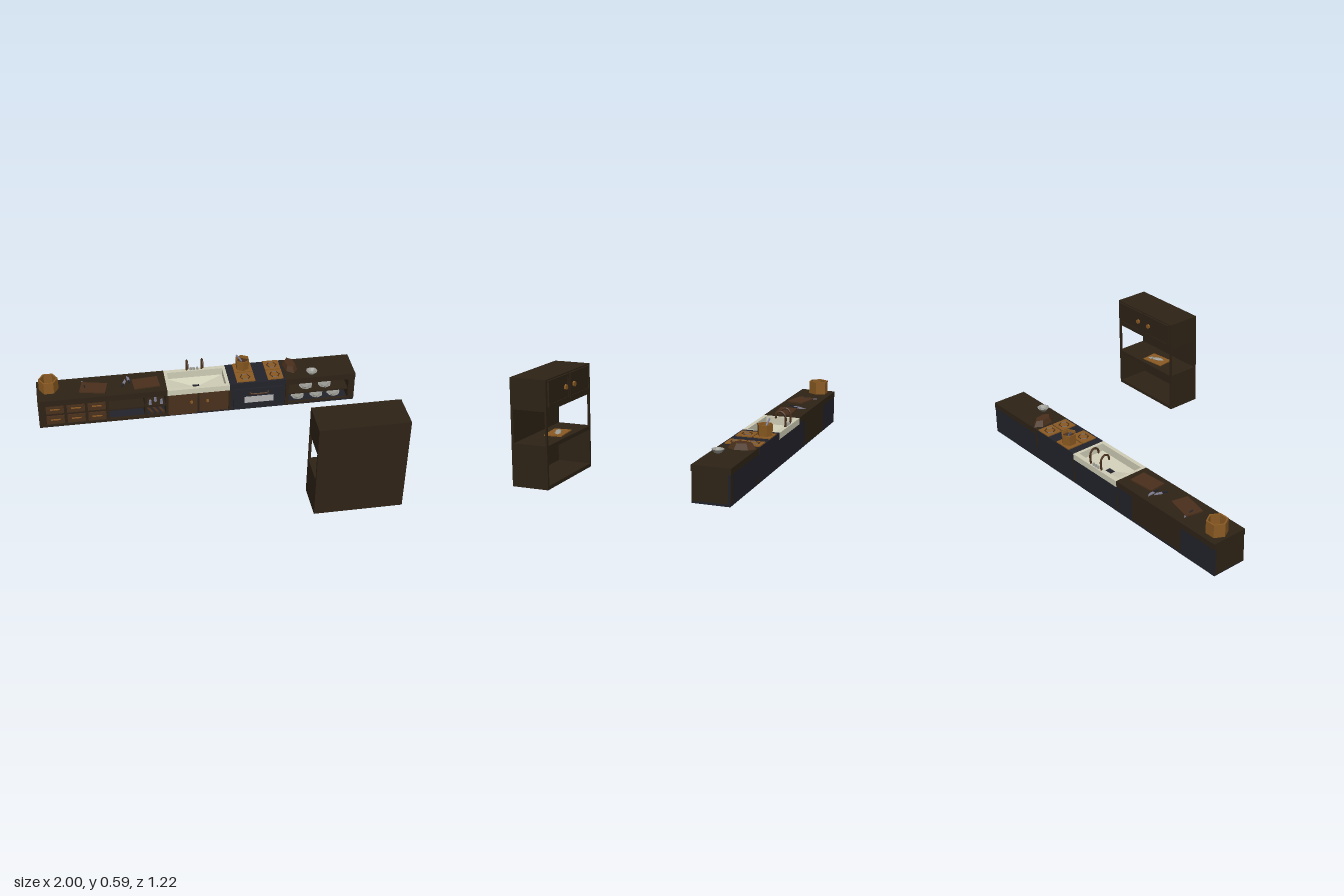
import * as THREE from 'three';

const mat = (color) => new THREE.MeshStandardMaterial({ color, flatShading: true, side: THREE.DoubleSide });
const DARK = mat(0x2e2316), BROWN = mat(0x4a301c), ORANGE = mat(0x8a5a22), IRON = mat(0x22222b),
  CREAM = mat(0xcfcdb6), GREY = mat(0x9c9c96), STEEL = mat(0x7c7a90), GLASS = mat(0xb4b4b4);

function add(parent, name, geo, m, x = 0, y = 0, z = 0, ry = 0) {
  const mesh = new THREE.Mesh(geo, m);
  mesh.name = name;
  mesh.position.set(x, y, z);
  mesh.rotation.y = ry;
  parent.add(mesh);
  return mesh;
}
// Box given by its limits on each axis
const box = (p, name, m, x0, x1, y0, y1, z0, z1) =>
  add(p, name, new THREE.BoxGeometry(x1 - x0, y1 - y0, z1 - z0), m, (x0 + x1) / 2, (y0 + y1) / 2, (z0 + z1) / 2);
// Box resting on height y, turned by ry
const slab = (p, name, m, x, y, z, w, h, d, ry = 0) =>
  add(p, name, new THREE.BoxGeometry(w, h, d), m, x, y + h / 2, z, ry);
const tube = (p, name, m, pts, r) =>
  add(p, name, new THREE.TubeGeometry(new THREE.CatmullRomCurve3(pts.map((q) => new THREE.Vector3(...q))), 16, r, 6), m);
function group(parent, name) {
  const g = new THREE.Group();
  g.name = name;
  parent.add(g);
  return g;
}
// Open hollow vessel from a lathe
function vessel(p, name, m, x, y, z, rBase, rTop, h, wall, sides, ry = 0) {
  const pts = [[0, 0], [rBase, 0], [rTop, h], [rTop - wall, h], [rBase - wall, wall], [0, wall]];
  return add(p, name, new THREE.LatheGeometry(pts.map((q) => new THREE.Vector2(...q)), sides), m, x, y, z, ry);
}
// Rectangular funnel between two rectangles (half sizes)
function funnel(p, name, m, x, y0, y1, z, top, bottom) {
  const g = new THREE.CylinderGeometry(Math.SQRT2, Math.SQRT2, 1, 4, 1, true).rotateY(Math.PI / 4);
  const a = g.attributes.position;
  for (let i = 0; i < a.count; i++) {
    const up = a.getY(i) > 0, s = up ? top : bottom;
    a.setXYZ(i, a.getX(i) * s[0], up ? y1 : y0, a.getZ(i) * s[1]);
  }
  g.computeVertexNormals();
  return add(p, name, g, m, x, 0, z);
}
function knife(p, x, z, ry) {
  const g = group(p, 'knife');
  g.position.set(x, 0.216, z);
  g.rotation.y = ry;
  const blade = new THREE.Shape([[-0.009, 0], [0.009, 0], [0.008, 0.03], [-0.006, 0.05]].map((q) => new THREE.Vector2(...q)));
  add(g, 'blade', new THREE.ExtrudeGeometry(blade, { depth: 0.004, bevelEnabled: false }).rotateX(-Math.PI / 2), STEEL);
  slab(g, 'knifeHandle', IRON, 0, 0, 0.015, 0.009, 0.007, 0.03);
}

const ZB = -0.607, ZF = -0.4, Y0 = 0.015, YC = 0.18, YT = 0.214;

function buildCounter(root) {
  const g = group(root, 'counter');
  // carcass panels
  box(g, 'bottomPanel', IRON, -1, 0.97, Y0, 0.028, ZB, ZF);
  for (const [a, b, m] of [[-1, -0.74, IRON], [-0.74, -0.34, DARK], [-0.34, 0.97, IRON]])
    box(g, 'backPanel', m, a, b, Y0, YC, ZB, ZB + 0.012);
  for (const [a, b] of [[-1, -0.96], [-0.585, -0.57], [-0.352, -0.338], [-0.222, -0.208], [0.17, 0.185], [0.53, 0.55], [0.93, 0.97]])
    box(g, 'divider', DARK, a, b, Y0, YC, ZB, ZF);
  for (const [a, b] of [[-1, -0.21], [0.53, 0.97]]) {
    box(g, 'worktop', DARK, a, b, YC, YT, ZB - 0.002, ZF + 0.005);
    box(g, 'plinth', DARK, a, b, Y0, 0.03, ZF - 0.02, ZF);
    box(g, 'topRail', DARK, a, b, 0.17, YC, ZF - 0.02, ZF);
  }
  // drawers
  box(g, 'drawerCase', DARK, -0.96, -0.585, 0.028, 0.17, ZB + 0.012, ZF - 0.012);
  for (const x of [-0.9, -0.772, -0.645]) for (const y of [0.062, 0.138]) {
    box(g, 'drawerFront', BROWN, x - 0.055, x + 0.055, y - 0.029, y + 0.029, ZF - 0.012, ZF - 0.004);
    box(g, 'drawerPanel', BROWN, x - 0.045, x + 0.045, y - 0.021, y + 0.021, ZF - 0.004, ZF);
    box(g, 'drawerHandle', ORANGE, x - 0.03, x + 0.03, y + 0.004, y + 0.01, ZF, ZF + 0.006);
  }
  // open shelves
  for (const [a, b] of [[-0.57, -0.352], [-0.338, -0.222], [0.55, 0.93]])
    box(g, 'shelf', DARK, a, b, 0.09, 0.1, ZB + 0.012, ZF - 0.008);
  for (let i = 0; i < 3; i++) {
    const x = -0.315 + i * 0.035;
    add(g, 'jar', new THREE.CylinderGeometry(0.008, 0.011, 0.03, 6), STEEL, x, 0.115, -0.425 - (i % 2) * 0.03);
    const b = add(g, 'bottle', new THREE.CylinderGeometry(0.009, 0.009, 0.06, 6).rotateX(Math.PI / 2), BROWN, x, 0.04, -0.445);
    b.rotation.y = 0.4;
  }
  for (const [x, y] of [[0.67, 0.1], [0.79, 0.1], [0.62, 0.028], [0.74, 0.028], [0.85, 0.028]])
    for (let k = 0; k < 2; k++) vessel(g, 'plate', GREY, x, y + k * 0.009, -0.455, 0.025, 0.042, 0.014, 0.005, 8);
}

function buildSink(root) {
  const g = group(root, 'sink');
  box(g, 'sinkCabinet', DARK, -0.208, 0.17, 0.028, 0.12, ZB + 0.012, ZF - 0.01);
  for (const s of [-1, 1]) {
    const x = -0.018 + s * 0.097;
    box(g, 'sinkDoor', BROWN, x - 0.09, x + 0.09, 0.018, 0.172, ZF - 0.012, ZF);
    add(g, 'doorKnob', new THREE.CylinderGeometry(0.009, 0.009, 0.012, 6).rotateX(Math.PI / 2), ORANGE, -0.012 + s * 0.05, 0.11, ZF + 0.006);
  }
  // rim around the basin
  box(g, 'rimFront', CREAM, -0.21, 0.177, 0.175, 0.212, -0.415, -0.392);
  box(g, 'rimBack', CREAM, -0.21, 0.177, 0.175, 0.212, -0.61, -0.582);
  box(g, 'rimSide', CREAM, -0.21, -0.19, 0.175, 0.212, -0.582, -0.415);
  box(g, 'rimSide', CREAM, 0.157, 0.177, 0.175, 0.212, -0.582, -0.415);
  const half = [0.1735, 0.0835];
  funnel(g, 'basinWall', CREAM, -0.0165, 0.165, 0.212, -0.4985, half, half);
  funnel(g, 'basinFloor', CREAM, -0.0165, 0.14, 0.165, -0.4985, half, [0.02, 0.02]);
  slab(g, 'drain', IRON, -0.0165, 0.138, -0.505, 0.04, 0.008, 0.04);
  // taps
  for (const x of [-0.065, 0.03]) {
    tube(g, 'tap', BROWN, [[x, 0.21, -0.597], [x, 0.275, -0.597], [x, 0.298, -0.575], [x, 0.288, -0.548], [x, 0.258, -0.54]], 0.006);
  }
  for (const x of [-0.037, -0.018, 0.003])
    add(g, 'tapHandle', new THREE.CylinderGeometry(0.007, 0.009, 0.014, 6), GREY, x, 0.219, -0.597);
}

function buildStove(root) {
  const g = group(root, 'stove');
  box(g, 'stoveBody', IRON, 0.185, 0.53, 0.017, 0.178, ZB, ZF - 0.01);
  box(g, 'hob', IRON, 0.177, 0.53, 0.178, YT, ZB - 0.003, ZF + 0.005);
  box(g, 'ovenDoor', IRON, 0.205, 0.515, 0.028, 0.165, ZF - 0.01, ZF);
  box(g, 'ovenWindow', GLASS, 0.27, 0.455, 0.062, 0.108, ZF, ZF + 0.002);
  tube(g, 'ovenHandle', BROWN, [[0.305, 0.14, ZF], [0.31, 0.14, -0.382], [0.335, 0.14, -0.379], [0.39, 0.14, -0.379], [0.415, 0.14, -0.382], [0.42, 0.14, ZF]], 0.005);
  for (const [x, w] of [[0.282, 0.115], [0.468, 0.098]]) for (const z of [-0.56, -0.457]) {
    slab(g, 'burnerPlate', ORANGE, x, YT, z, w, 0.006, 0.095);
    const ring = new THREE.TorusGeometry(0.03, 0.004, 4, 6).rotateX(Math.PI / 2);
    add(g, 'burnerRing', ring, BROWN, x, YT + 0.006, z);
  }
  // cooking pot with ladle
  vessel(g, 'cookingPot', ORANGE, 0.282, 0.22, -0.56, 0.042, 0.046, 0.064, 0.007, 6);
  add(g, 'potContents', new THREE.CylinderGeometry(0.037, 0.037, 0.004, 6), BROWN, 0.282, 0.265, -0.56);
  tube(g, 'ladle', STEEL, [[0.29, 0.245, -0.56], [0.265, 0.285, -0.567], [0.245, 0.306, -0.572]], 0.006);
}

function buildCounterItems(root) {
  const g = group(root, 'counterItems');
  vessel(g, 'largePot', ORANGE, -0.925, YT, -0.522, 0.06, 0.06, 0.077, 0.01, 6, Math.PI / 6);
  slab(g, 'choppingBoard', BROWN, -0.655, YT, -0.487, 0.16, 0.008, 0.1, -0.22);
  slab(g, 'choppingBoard', BROWN, -0.333, YT, -0.49, 0.16, 0.008, 0.1, 0.08);
  knife(g, -0.71, -0.52, 0.15);
  knife(g, -0.47, -0.5, -0.4);
  knife(g, -0.435, -0.53, 0.1);
  // faceted loaf
  const loaf = add(g, 'loaf', new THREE.CylinderGeometry(0.03, 0.042, 0.034, 6), BROWN, 0.578, YT + 0.017, -0.53, 0.18);
  loaf.scale.z = 1.8;
  vessel(g, 'bowl', GREY, 0.7, YT, -0.44, 0.02, 0.036, 0.02, 0.006, 8);
}

function buildHutch(root) {
  const g = group(root, 'hutch');
  const L = 0.49, R = 1, F = 0.397, B = 0.608, T = 0.015;
  box(g, 'backPanel', DARK, L, R, 0, 0.59, B - T, B);
  // lower open cupboard
  box(g, 'base', DARK, L, R, 0, 0.02, F, B - T);
  box(g, 'servingTop', DARK, L, R, 0.215, 0.237, F, B - T);
  for (const [a, b] of [[L, L + T], [R - T, R]]) {
    box(g, 'lowerSide', DARK, a, b, 0.02, 0.215, F, B - T);
    box(g, 'post', DARK, a, b, 0.237, 0.42, F, F + 0.01);
  }
  // upper cupboard with doors facing the counter
  box(g, 'upperCupboard', DARK, L, R, 0.42, 0.59, F, B - T);
  for (const s of [-1, 1]) {
    const x = 0.745 + s * 0.121;
    box(g, 'upperDoor', DARK, x - 0.116, x + 0.116, 0.443, 0.583, F - 0.006, F);
    for (const y of [0.45, 0.576]) box(g, 'doorRail', DARK, x - 0.116, x + 0.116, y - 0.007, y + 0.007, F - 0.01, F - 0.006);
    for (const e of [-0.109, 0.109]) box(g, 'doorStile', DARK, x + e - 0.007, x + e + 0.007, 0.457, 0.569, F - 0.01, F - 0.006);
    add(g, 'hutchKnob', new THREE.CylinderGeometry(0.015, 0.015, 0.012, 6).rotateX(Math.PI / 2), ORANGE, 0.745 + s * 0.048, 0.515, F - 0.011);
  }
  // serving board with fish
  slab(g, 'servingBoard', ORANGE, 0.72, 0.237, 0.48, 0.15, 0.006, 0.1, 0.1);
  const fish = add(g, 'fish', new THREE.SphereGeometry(0.02, 6, 4), GREY, 0.715, 0.247, 0.48, 0.4);
  fish.scale.set(2.2, 0.35, 0.9);
  const tail = add(g, 'fishTail', new THREE.ConeGeometry(0.02, 0.03, 4).rotateZ(-Math.PI / 2), GREY, 0.765, 0.247, 0.459, 0.4);
  tail.scale.y = 0.3;
}

export function createModel() {
  const root = new THREE.Group();
  root.name = 'kitchen';
  buildCounter(root);
  buildSink(root);
  buildStove(root);
  buildCounterItems(root);
  buildHutch(root);
  return root;
}
